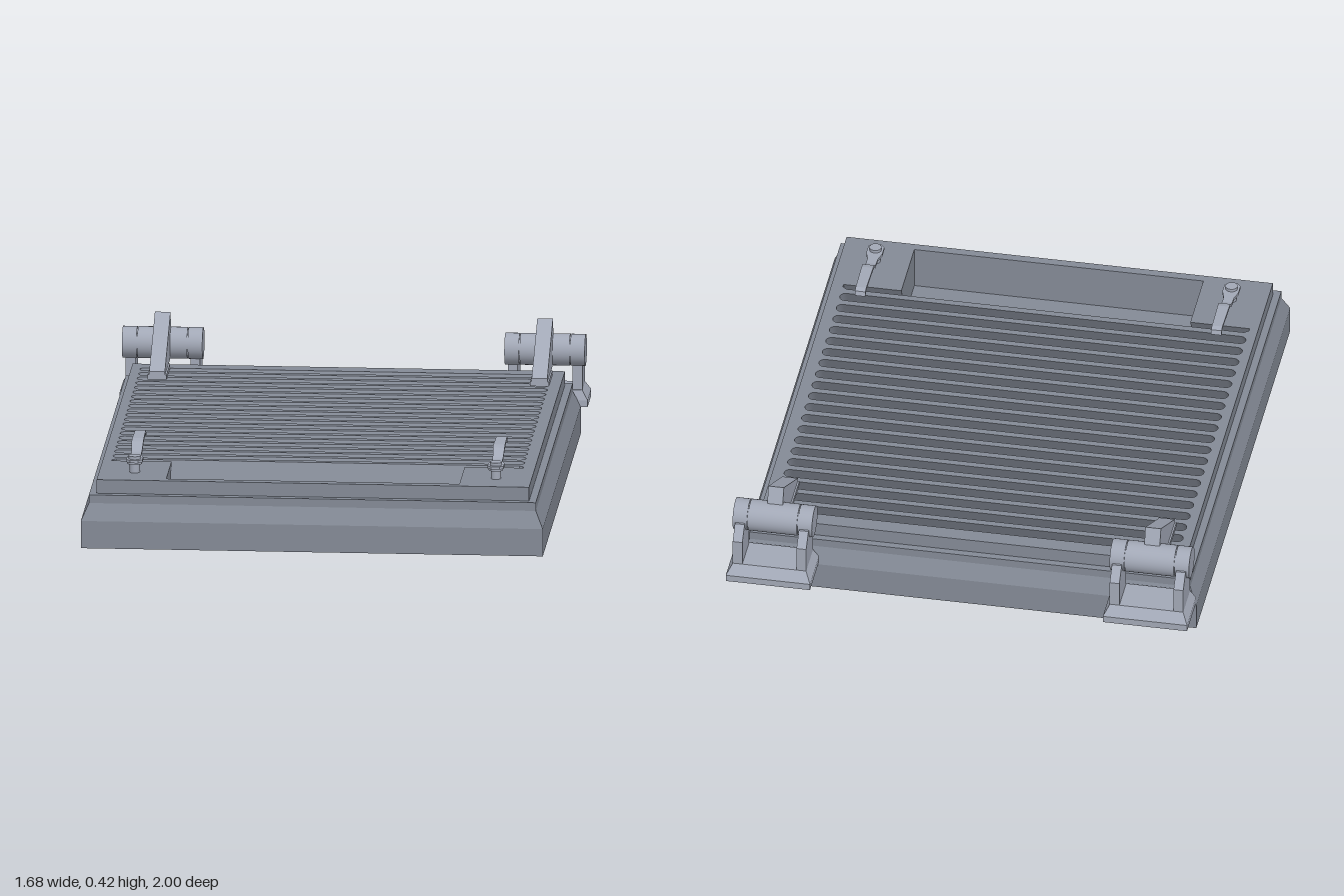
import * as THREE from 'three';

const BODY = 0x848a96, FITTING = 0xa2a8b6;
const bodyMat = new THREE.MeshStandardMaterial({ color: BODY, flatShading: true });
const fittingMat = new THREE.MeshStandardMaterial({ color: FITTING, flatShading: true });
const roundMat = new THREE.MeshStandardMaterial({ color: FITTING });

function add(parent, name, geometry, material) {
  const mesh = new THREE.Mesh(geometry, material);
  mesh.name = name;
  parent.add(mesh);
  return mesh;
}

// Skin a series of four-cornered rings, with optional end cap
function loft(rings, capEnd = true) {
  const tris = [];
  const quad = (a, b, c, d) => tris.push(...a, ...b, ...c, ...a, ...c, ...d);
  for (let i = 0; i < rings.length - 1; i++)
    for (let j = 0; j < 4; j++) {
      const k = (j + 1) % 4;
      quad(rings[i][j], rings[i][k], rings[i + 1][k], rings[i + 1][j]);
    }
  quad(...[...rings[0]].reverse());
  if (capEnd) quad(...rings[rings.length - 1]);
  const g = new THREE.BufferGeometry();
  g.setAttribute('position', new THREE.Float32BufferAttribute(tris, 3));
  g.computeVertexNormals();
  return g;
}

// Horizontal rectangle used as a loft ring
const rect = (x0, x1, z0, z1, y) => [[x0, y, z1], [x1, y, z1], [x1, y, z0], [x0, y, z0]];

// Side profile of [z, y] points, given a width along x
function sideProfile(points, width) {
  const shape = new THREE.Shape(points.map(([z, y]) => new THREE.Vector2(z, y)));
  const g = new THREE.ExtrudeGeometry(shape, { depth: width, bevelEnabled: false });
  return g.translate(0, 0, -width / 2).rotateY(-Math.PI / 2);
}

function xCylinder(r, x0, x1, y, z) {
  return new THREE.CylinderGeometry(r, r, x1 - x0, 32).rotateZ(Math.PI / 2).translate((x0 + x1) / 2, y, z);
}

const TOP = 0.24, FLOOR = 0.08, SLANT = 0.088;
const SLOT = { x0: -0.755, x1: 0.72, r: 0.0215, first: -0.707, step: 0.0681, count: 20 };

function createBed() {
  const bed = new THREE.Group();
  bed.name = 'bed';

  // Stepped outer body
  const profile = [[0, 0], [0, 0.1], [0.027, 0.16], [0.027, 0.19], [0.053, 0.19]];
  add(bed, 'bodyShell', loft(profile.map(([d, y]) =>
    rect(-0.84 + d, 0.815 - d, -0.84 + d, 1 - d, y)), false), bodyMat);

  // Raised top; the last slot opens into the front pocket
  const poly = (pts) => pts.map(([x, z]) => new THREE.Vector2(x, -z));
  const top = new THREE.Shape(poly([[-0.787, 0.947], [0.762, 0.947], [0.762, -0.787], [-0.787, -0.787]]));
  const { x0, x1, r } = SLOT;
  top.holes.push(new THREE.Path(poly([
    [x0 + 0.015, 0.634], [x0, 0.647], [x0, 0.66], [-0.54, 0.66], [-0.54, 0.915],
    [0.51, 0.915], [0.51, 0.66], [x1, 0.66], [x1, 0.647], [x1 - 0.015, 0.634]])));
  for (let i = 0; i < SLOT.count; i++) {
    const z = SLOT.first + i * SLOT.step;
    const hole = new THREE.Path();
    hole.moveTo(x0 + r, -z - r);
    hole.lineTo(x1 - r, -z - r);
    hole.absarc(x1 - r, -z, r, -Math.PI / 2, Math.PI / 2);
    hole.lineTo(x0 + r, -z + r);
    hole.absarc(x0 + r, -z, r, Math.PI / 2, Math.PI * 1.5);
    top.holes.push(hole);
  }
  const block = new THREE.ExtrudeGeometry(top, { depth: TOP - FLOOR, bevelEnabled: false, curveSegments: 8 });
  block.rotateX(-Math.PI / 2).translate(0, FLOOR, 0);

  // Slant the slots and the pocket's back wall towards the front
  const pos = block.attributes.position;
  for (let i = 0; i < pos.count; i++) {
    const z = pos.getZ(i);
    if (pos.getY(i) < TOP - 0.01 && z > -0.75 && z < 0.7) pos.setZ(i, z + SLANT);
  }
  block.computeVertexNormals();
  add(bed, 'slottedTop', block, bodyMat);

  // Floor closing the slots and pocket
  const floor = new THREE.PlaneGeometry(1.5, 1.7).rotateX(-Math.PI / 2).translate(-0.0125, FLOOR + 0.001, 0.08);
  add(bed, 'innerFloor', floor, bodyMat);
  return bed;
}

function createHinge() {
  const hinge = new THREE.Group();
  hinge.name = 'hinge';
  const y = 0.302, z = -0.86;

  // Flared mounting foot
  add(hinge, 'foot', loft([
    rect(-0.153, 0.153, -1, -0.825, 0.1),
    rect(-0.153, 0.153, -1, -0.825, 0.125),
    rect(-0.133, 0.133, -0.97, -0.835, 0.16)]), fittingMat);

  // Posts and barrel
  for (const s of [-1, 1]) {
    const post = sideProfile([[-0.84, 0.155], [-0.97, 0.155], [-0.97, 0.255], [-0.925, 0.302], [-0.84, 0.302]], 0.035);
    add(hinge, 'post', post, fittingMat).position.x = s * 0.116;
    add(hinge, 'outerKnuckle', xCylinder(0.057, -0.026, 0.026, y, z), roundMat).position.x = s * 0.118;
  }
  add(hinge, 'middleKnuckle', xCylinder(0.057, -0.089, 0.089, y, z), roundMat);
  add(hinge, 'pin', xCylinder(0.052, -0.14, 0.14, y, z), roundMat);

  // Wedge-shaped arm resting on the bed
  add(hinge, 'arm', sideProfile([
    [-0.565, 0.238], [-0.565, 0.267], [-0.838, 0.42], [-0.862, 0.355],
    [-0.862, 0.29], [-0.81, 0.25], [-0.735, 0.25], [-0.735, 0.238]], 0.056), fittingMat);
  add(hinge, 'armPad', sideProfile([[-0.565, 0.238], [-0.565, 0.255], [-0.735, 0.255], [-0.735, 0.238]], 0.068), fittingMat);
  return hinge;
}

function createClip() {
  const clip = new THREE.Group();
  clip.name = 'clip';
  // Strap stations: z, y, width
  const stations = [
    [0.855, 0.285, 0.03], [0.84, 0.285, 0.058], [0.8, 0.285, 0.058], [0.765, 0.285, 0.038],
    [0.735, 0.285, 0.036], [0.718, 0.29, 0.038], [0.685, 0.315, 0.042], [0.663, 0.32, 0.042],
    [0.54, 0.32, 0.038], [0.527, 0.315, 0.038], [0.523, 0.3, 0.038]];
  const t = 0.005;
  add(clip, 'strap', loft(stations.map(([z, y, w], i) => {
    const a = stations[Math.max(i - 1, 0)], b = stations[Math.min(i + 1, stations.length - 1)];
    const len = Math.hypot(b[0] - a[0], b[1] - a[1]);
    const nz = t * (b[1] - a[1]) / len, ny = t * (a[0] - b[0]) / len;
    const h = w / 2;
    return [[h, y - ny, z - nz], [-h, y - ny, z - nz], [-h, y + ny, z + nz], [h, y + ny, z + nz]];
  })), fittingMat);

  // Screw post with collar and head
  for (const [name, r, y0, y1] of [['screwPost', 0.018, 0.238, 0.298], ['collar', 0.026, 0.271, 0.28], ['screwHead', 0.022, 0.29, 0.301]])
    add(clip, name, new THREE.CylinderGeometry(r, r, y1 - y0, 20).translate(0, (y0 + y1) / 2, 0.822), roundMat);
  return clip;
}

export function createModel() {
  const model = new THREE.Group();
  model.name = 'slottedBed';
  model.add(createBed());
  for (const x of [-0.683, 0.687]) {
    const hinge = createHinge();
    hinge.position.x = x;
    model.add(hinge);
  }
  for (const x of [-0.66, 0.634]) {
    const clip = createClip();
    clip.position.x = x;
    model.add(clip);
  }
  return model;
}
